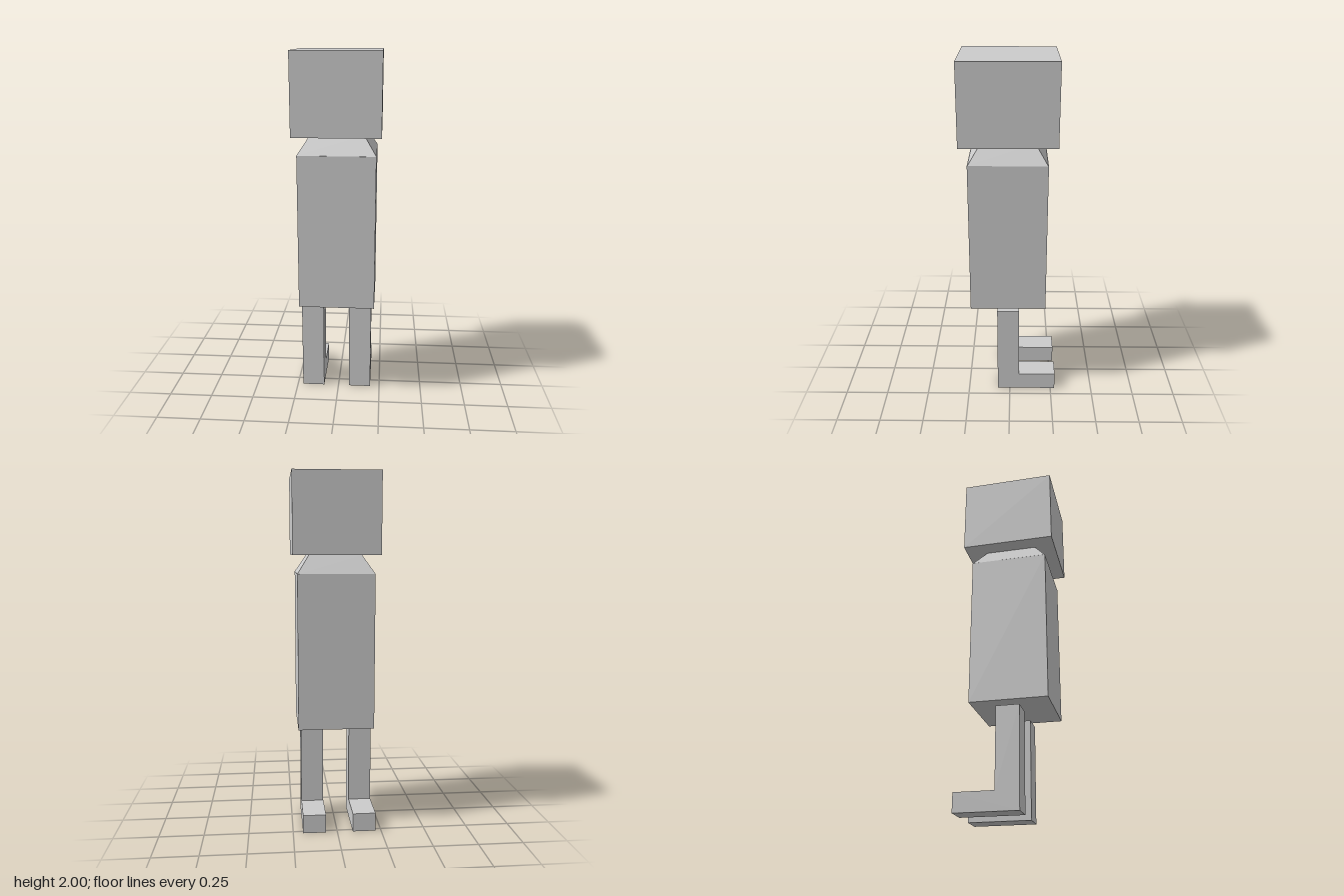
import * as THREE from 'three';

export function createModel() {
  const model = new THREE.Group();
  const grey = new THREE.MeshStandardMaterial({ color: 0xcccccc });
  grey.name = 'light grey';

  const add = (name, geometry) => {
    const mesh = new THREE.Mesh(geometry, grey);
    mesh.name = name;
    model.add(mesh);
    return mesh;
  };

  // Box given by its lower and upper corners
  const box = (name, [x0, y0, z0], [x1, y1, z1]) =>
    add(name, new THREE.BoxGeometry(x1 - x0, y1 - y0, z1 - z0))
      .position.set((x0 + x1) / 2, (y0 + y1) / 2, (z0 + z1) / 2);

  box('head', [-0.24, 1.556, -0.256], [0.24, 2, 0.272]);
  box('torso', [-0.215, 0.582, -0.207], [0.213, 1.453, 0.227]);

  // Shoulders: four-sided frustum with flat faces, tapering up to the head
  const frustum = new THREE.CylinderGeometry(
    0.147 * Math.SQRT2, 0.2145 * Math.SQRT2, 0.103, 4, 1, false, Math.PI / 4
  ).toNonIndexed();
  frustum.computeVertexNormals();
  add('shoulders', frustum).position.set(-0.001, 1.5045, 0.01);

  // L-shaped legs: side profile in (z, y), with the foot pointing back
  const profile = new THREE.Shape(
    [[0.074, 0], [0.074, 0.55], [-0.055, 0.55], [-0.055, 0.105], [-0.275, 0.105], [-0.275, 0]]
      .map(([z, y]) => new THREE.Vector2(-z, y))
  );
  const legGeometry = new THREE.ExtrudeGeometry(profile, { depth: 0.13, bevelEnabled: false });
  legGeometry.rotateY(Math.PI / 2);
  for (const [name, x] of [['rightLeg', -0.218], ['leftLeg', 0.064]]) {
    add(name, legGeometry).position.x = x;
  }

  return model;
}
